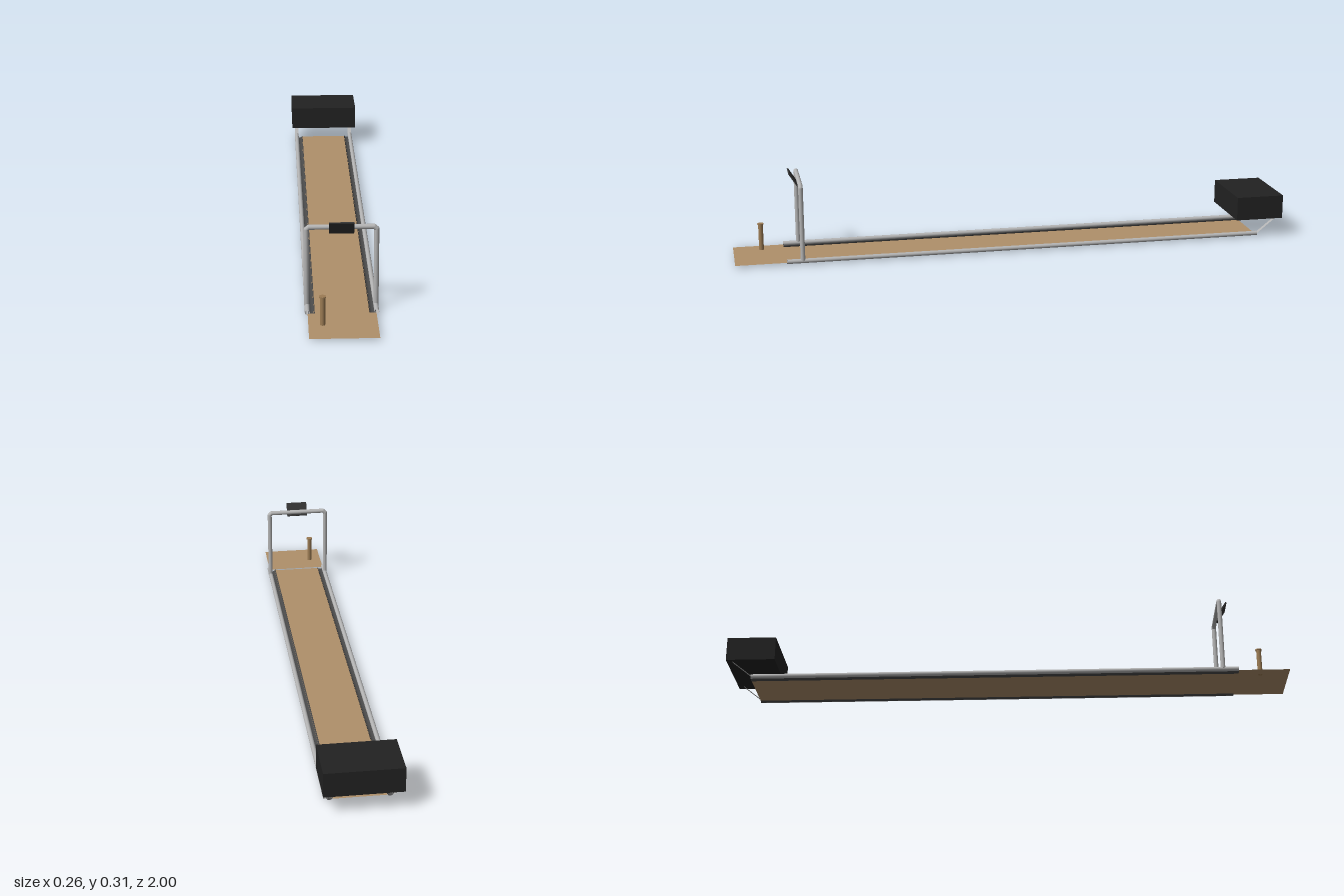
import * as THREE from 'three';

const mat = (name, color, side = THREE.FrontSide) => {
  const m = new THREE.MeshStandardMaterial({ color, side });
  m.name = name;
  return m;
};

export function createModel() {
  const model = new THREE.Group();
  model.name = 'bowlingLane';

  const wood = mat('wood', 0xb0906a, THREE.DoubleSide);
  const postWood = mat('postWood', 0x9c7c54);
  const metal = mat('metal', 0xb4b4b4, THREE.DoubleSide);
  const gutterGrey = mat('gutterGrey', 0x4a4a4a, THREE.DoubleSide);
  const black = mat('black', 0x222222);
  const screenGrey = mat('screenGrey', 0x333333);

  const add = (name, geometry, material, x = 0, y = 0, z = 0, parent = model) => {
    const mesh = new THREE.Mesh(geometry, material);
    mesh.name = name;
    mesh.position.set(x, y, z);
    parent.add(mesh);
    return mesh;
  };

  // Flat horizontal sheet between two z values
  const sheet = (name, width, z0, z1, y) =>
    add(name, new THREE.PlaneGeometry(width, z1 - z0).rotateX(-Math.PI / 2), wood, 0, y, (z0 + z1) / 2);

  // Round bar between two points
  const bar = (name, a, b, r, parent, open = false) => {
    const p = new THREE.Vector3(...a), q = new THREE.Vector3(...b);
    const dir = q.clone().sub(p);
    const mesh = add(name, new THREE.CylinderGeometry(r, r, dir.length(), 16, 1, open), metal, 0, 0, 0, parent);
    mesh.position.copy(p).add(q).multiplyScalar(0.5);
    mesh.quaternion.setFromUnitVectors(new THREE.Vector3(0, 1, 0), dir.normalize());
    return mesh;
  };

  // Lane and the slightly raised approach in front of it
  const back = -0.91, front = 0.82, length = front - back, midZ = (front + back) / 2;
  sheet('lane', 0.18, back, front, 0.004);
  sheet('approach', 0.22, front, 1, 0.008);

  // Gutters, side rails and the struts that carry the pin housing
  for (const s of [1, -1]) {
    const gutter = new THREE.CylinderGeometry(0.011, 0.011, length, 12, 1, true, -Math.PI / 2, Math.PI);
    gutter.rotateX(Math.PI / 2);
    add('gutter', gutter, gutterGrey, s * 0.098, 0.011, midZ);

    bar('sideRail', [s * 0.111, 0.012, back], [s * 0.111, 0.012, front], 0.008, model, true);

    const rise = 0.058, run = 0.072;
    const strip = new THREE.PlaneGeometry(0.015, Math.hypot(rise, run));
    strip.rotateX(-Math.PI / 2 + Math.atan2(rise, run));
    add('housingStrut', strip, metal, s * 0.111, 0.014 + rise / 2, back - run / 2);
  }

  // Pin housing at the far end
  add('pinHousing', new THREE.BoxGeometry(0.26, 0.086, 0.175), black, 0, 0.113, -0.9125);

  // Arch with cut corners
  const arch = new THREE.Group();
  arch.name = 'arch';
  model.add(arch);
  const z = 0.765, r = 0.0082;
  for (const s of [1, -1]) {
    const shoulder = [s * 0.112, 0.276, z], corner = [s * 0.104, 0.2835, z];
    bar('archLeg', [s * 0.112, 0.013, z], shoulder, r, arch);
    bar('archCorner', shoulder, corner, r, arch);
    for (const p of [shoulder, corner]) add('archJoint', new THREE.SphereGeometry(r, 16, 10), metal, ...p, arch);
  }
  bar('archCrossbar', [-0.104, 0.2835, z], [0.104, 0.2835, z], r, arch);

  // Tilted display on the crossbar
  const display = add('display', new THREE.BoxGeometry(0.08, 0.054, 0.005), screenGrey, 0, 0.2875, 0.784);
  display.rotation.x = 0.56;

  // Small post with a cap on the approach
  add('post', new THREE.CylinderGeometry(0.0085, 0.0085, 0.095, 16), postWood, -0.065, 0.0555, 0.9);
  add('postCap', new THREE.CylinderGeometry(0.0115, 0.0115, 0.004, 16), postWood, -0.065, 0.104, 0.9);

  return model;
}
